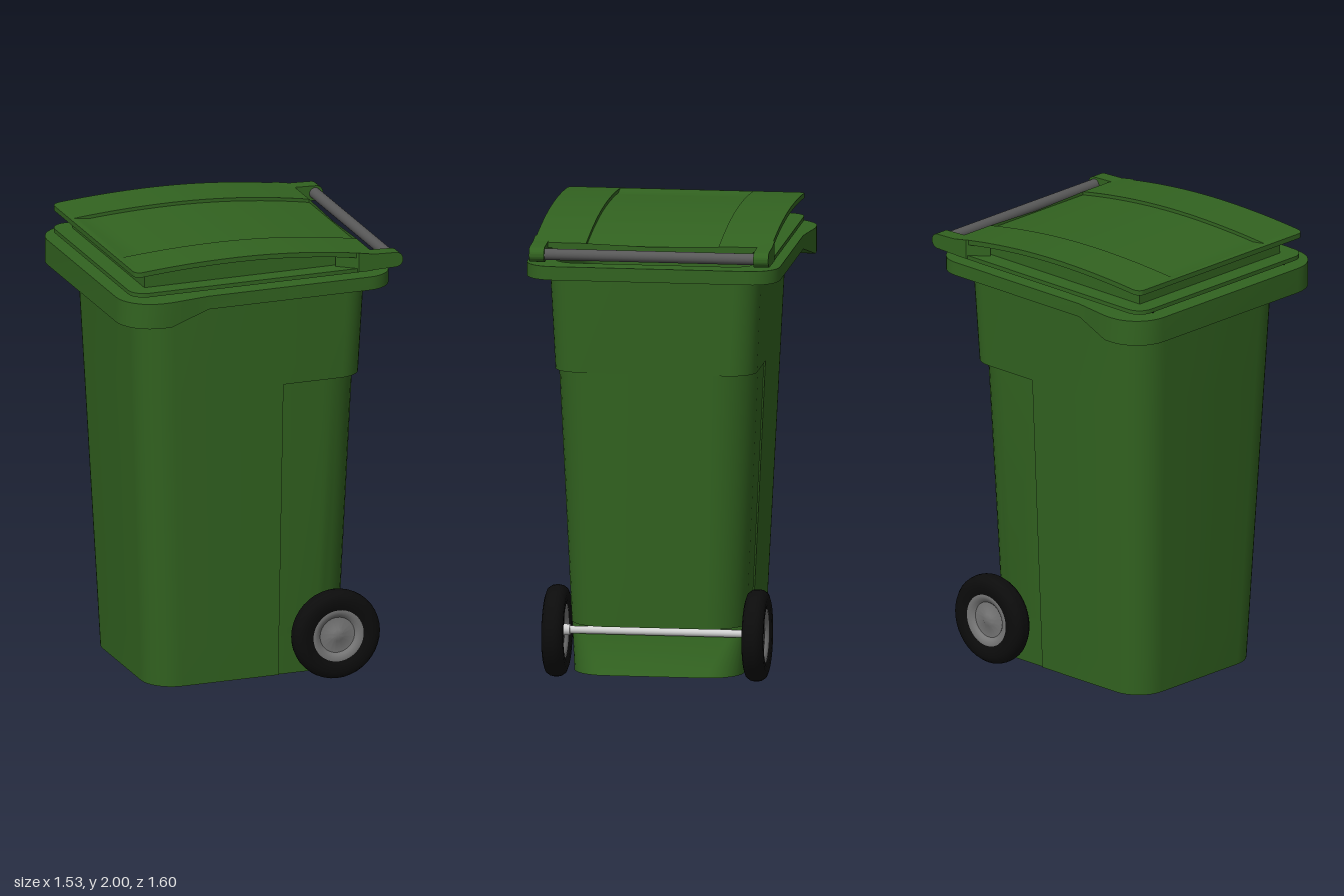
import * as THREE from 'three';
import { toCreasedNormals } from 'three/addons/utils/BufferGeometryUtils.js';

const V = (x, y, z) => new THREE.Vector3(x, y, z);
const lerp = THREE.MathUtils.lerp;

// Skin a list of equal-length loops; optional flat caps at both ends.
function loft(rings, caps = true) {
  const n = rings[0].length, pos = [], idx = [];
  rings.forEach(r => r.forEach(p => pos.push(p.x, p.y, p.z)));
  for (let i = 0; i < rings.length - 1; i++) {
    for (let j = 0; j < n; j++) {
      const k = (j + 1) % n;
      const a = i * n + j, b = i * n + k, c = a + n, d = b + n;
      idx.push(a, c, b, b, c, d);
    }
  }
  if (caps) {
    [0, rings.length - 1].forEach((i, last) => {
      const mid = rings[i].reduce((s, p) => s.add(p), V(0, 0, 0)).divideScalar(n);
      const m = pos.length / 3;
      pos.push(mid.x, mid.y, mid.z);
      for (let j = 0; j < n; j++) {
        const a = i * n + j, b = i * n + (j + 1) % n;
        idx.push(m, last ? b : a, last ? a : b);
      }
    });
  }
  const g = new THREE.BufferGeometry();
  g.setAttribute('position', new THREE.Float32BufferAttribute(pos, 3));
  g.setIndex(idx);
  return toCreasedNormals(g, 0.6);
}

// Rounded rectangle loop: half width u, front f, back b, corner radii rf / rb.
// Side points behind z = -0.11 are pushed in by inset.
function ring(y, u, f, b, rf, rb, { inset = 0, sides = [-0.112, -0.11] } = {}) {
  const pts = [], N = 8;
  const half = z => (z < -0.111 ? u - inset : u);
  const arc = (cx, cz, r, q) => {
    for (let i = 0; i <= N; i++) {
      const t = (q + i / N) * Math.PI / 2;
      pts.push(V(cx + r * Math.cos(t), y, cz + r * Math.sin(t)));
    }
  };
  sides.forEach(z => pts.push(V(half(z), y, z)));
  arc(u - rf, f - rf, rf, 0);
  arc(-u + rf, f - rf, rf, 1);
  [...sides].reverse().forEach(z => pts.push(V(-half(z), y, z)));
  const ub = u - inset;
  arc(-ub + rb, -b + rb, rb, 2);
  arc(ub - rb, -b + rb, rb, 3);
  return pts;
}

export function createModel() {
  const mat = (name, color) => {
    const m = new THREE.MeshStandardMaterial({ color });
    m.name = name;
    return m;
  };
  const green = mat('green plastic', 0x326320);
  const black = mat('black rubber', 0x0c0c0c);
  const grey = mat('grey wheel', 0x777777);
  const dark = mat('dark grey handle', 0x585858);
  const steel = mat('light steel', 0xd0d0d0);

  const model = new THREE.Group();
  const bin = new THREE.Group();
  bin.name = 'wheeledBin';
  bin.rotation.y = THREE.MathUtils.degToRad(-28);
  model.add(bin);
  const add = (name, geo, m, parent = bin) => {
    const mesh = new THREE.Mesh(geo, m);
    mesh.name = name;
    parent.add(mesh);
    return mesh;
  };

  // Tapered tub: axle ledge low at the back, recessed rear corners, hollow inside
  const tub = (y, { back, wall = 0, rb = 0.11, inset = 0 } = {}) => {
    const t = y / 1.8;
    return ring(y, lerp(0.376, 0.461, t) - wall, lerp(0.473, 0.556, t) - wall,
      (back ?? lerp(0.428, 0.508, t)) - wall, lerp(0.14, 0.16, t), rb, { inset });
  };
  const inset = 0.006;
  const groove = { inset, rb: 0.06, back: 0.338 };
  add('tub', loft([
    tub(0.02, { inset, rb: 0.15 }), tub(0.195, groove), tub(0.235, groove),
    tub(0.237, { inset, rb: 0.155 }), tub(1.365, { inset, rb: 0.19 }),
    tub(1.366), tub(1.84), tub(1.84, { wall: 0.02 }), tub(0.26, { wall: 0.12 }),
  ]), green);

  // Rim collar: deeper and wider towards the front
  const step = z => THREE.MathUtils.clamp((z - 0.28) / 0.18, 0, 1);
  const sides = [-0.112, -0.11, 0.28, 0.34, 0.4, 0.46];
  const lower = r => r.map(p => p.setY(lerp(1.79, 1.737, step(p.z))));
  const widen = r => r.map(p => p.setX(p.x + Math.sign(p.x) * 0.028 * step(p.z) * Math.min(1, Math.abs(p.x) / 0.4)));
  const outer = y => widen(ring(y, 0.553, 0.66, 0.592, 0.16, 0.125, { sides }));
  const inner = y => ring(y, 0.44, 0.538, 0.495, 0.06, 0.1, { sides });
  add('rim', loft([lower(inner(0)), lower(outer(0)), outer(1.85), inner(1.85), inner(1.8)], false), green);

  // Lid flange resting on two small bumpers
  const flange = y => ring(y, 0.52, 0.613, 0.505, 0.07, 0.02);
  add('lidFlange', loft([flange(1.866), flange(1.884)]), green);
  for (const s of [-1, 1]) {
    const bumper = add('lidBumper', new THREE.CylinderGeometry(0.008, 0.008, 0.03, 10), black);
    bumper.position.set(s * 0.41, 1.857, 0.58);
  }

  // Arched lid top with a shallow sunken centre panel
  const crown = z => 2 - (z > 0.15 ? 0.105 : 0.14) * (z - 0.15) ** 2;
  const stations = [];
  for (let i = 0; i <= 20; i++) stations.push(lerp(-0.505, 0.568, i / 20));
  for (let i = 1; i <= 6; i++) stations.push(0.568 + 0.035 * Math.sin(i * Math.PI / 12));
  add('lidTop', loft(stations.map(z => {
    const w = 0.483 + Math.sqrt(Math.max(0, 0.035 ** 2 - Math.max(0, z - 0.568) ** 2));
    const d = 0.015 * (1 - THREE.MathUtils.smoothstep(z, 0.52, 0.59));
    const y = crown(z), t = 0.022;
    return [[-w, 0], [-0.29, 0], [-0.2895, d], [0.2895, d], [0.29, 0], [w, 0], [w, t], [-w, t]]
      .map(([x, drop]) => V(x, y - drop, z));
  })), green);

  // Lid body below the arched top
  const lidRings = [];
  for (let i = 0; i <= 16; i++) {
    const z = lerp(-0.5, 0.535, i / 16), y = crown(z) - 0.018;
    lidRings.push([V(-0.44, y, z), V(0.44, y, z), V(0.44, 1.875, z), V(-0.44, 1.875, z)]);
  }
  add('lidBody', loft(lidRings), green);

  // Handle arms, splayed out of the lid body at their front ends
  const armShape = new THREE.Shape();
  armShape.moveTo(0.345, 1.868);
  armShape.lineTo(0.6, 1.872);
  armShape.absarc(0.6, 1.905, 0.033, -Math.PI / 2, Math.PI / 2, false);
  armShape.lineTo(0.5, 1.942);
  armShape.lineTo(0.345, 1.955);
  for (const s of [-1, 1]) {
    const geo = new THREE.ExtrudeGeometry(armShape, { depth: 0.066, bevelEnabled: false, curveSegments: 12 });
    geo.rotateY(Math.PI / 2).translate(s * 0.491 - 0.033, 0, 0);
    const p = geo.attributes.position;
    for (let i = 0; i < p.count; i++) {
      if (p.getZ(i) > -0.36) p.setZ(i, -0.345 - 1.25 * (Math.abs(p.getX(i)) - 0.458));
    }
    add('handleArm', toCreasedNormals(geo, 0.6), green);
  }
  const grip = add('handleGrip', new THREE.CylinderGeometry(0.025, 0.025, 0.93, 20), dark);
  grip.rotation.z = Math.PI / 2;
  grip.position.set(0, 1.905, -0.595);

  // Wheels and axle
  const lathe = pts => toCreasedNormals(
    new THREE.LatheGeometry(pts.map(p => new THREE.Vector2(...p)), 40), 0.7);
  const mirrored = half => [...half, ...half.map(([r, h]) => [r, -h]).reverse()];
  const tyreGeo = lathe(mirrored([[0.113, -0.036], [0.135, -0.046], [0.165, -0.047], [0.185, -0.04], [0.197, -0.023], [0.2, -0.008]]));
  const hubGeo = lathe(mirrored([[0, -0.03], [0.025, -0.03], [0.035, -0.024], [0.08, -0.022], [0.09, -0.032], [0.108, -0.039], [0.12, -0.037]]));
  for (const s of [-1, 1]) {
    const wheel = new THREE.Group();
    wheel.name = 'wheel';
    wheel.rotation.z = Math.PI / 2;
    wheel.position.set(s * 0.438, 0.2, -0.352);
    add('tyre', tyreGeo, black, wheel);
    add('wheelDisc', hubGeo, grey, wheel);
    bin.add(wheel);
    const collar = add('axleCollar', new THREE.CylinderGeometry(0.025, 0.025, 0.03, 16), steel);
    collar.rotation.z = Math.PI / 2;
    collar.position.set(s * 0.395, 0.205, -0.352);
  }
  const axle = add('axle', new THREE.CylinderGeometry(0.017, 0.017, 0.86, 16), steel);
  axle.rotation.z = Math.PI / 2;
  axle.position.set(0, 0.205, -0.352);

  return model;
}
